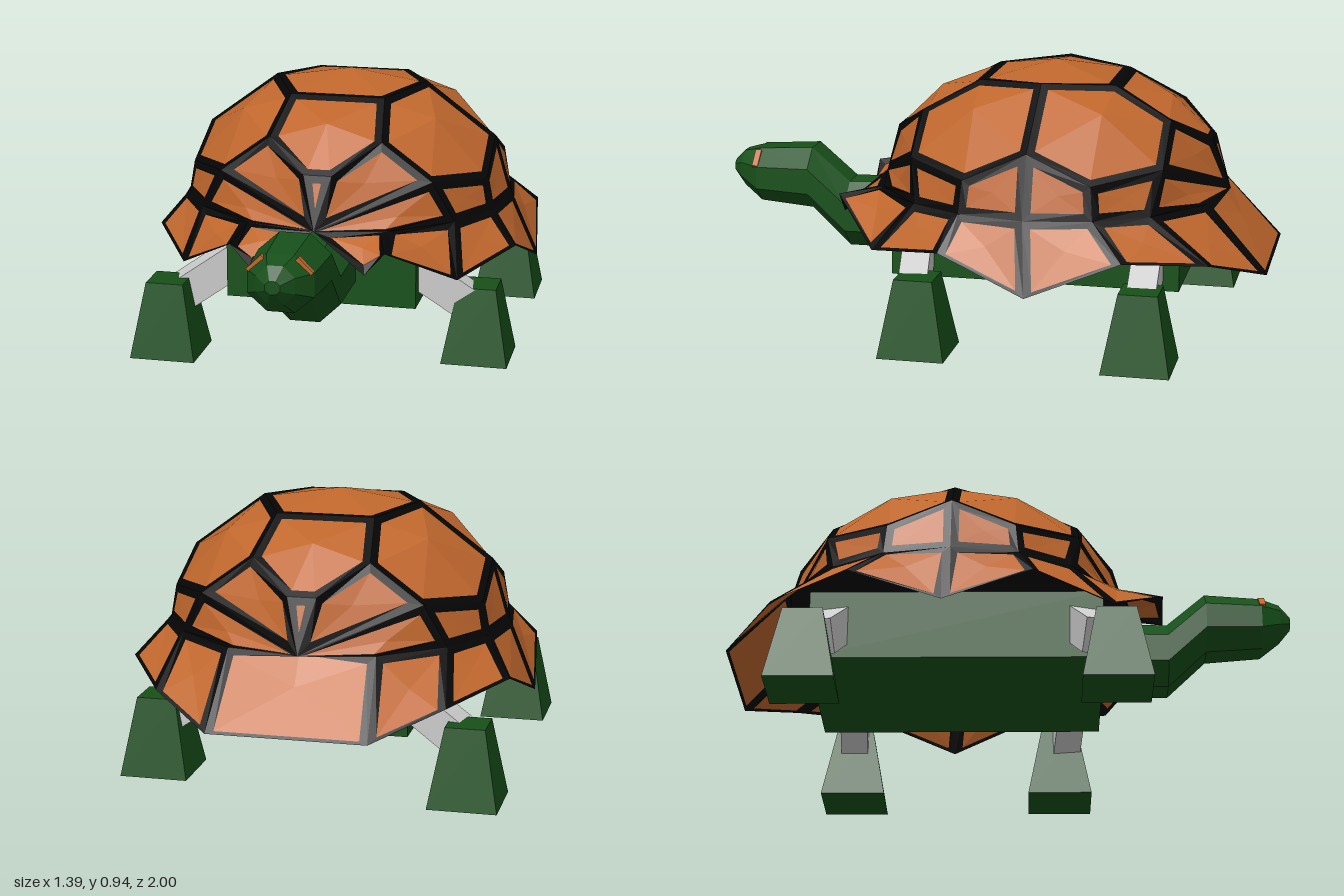
import * as THREE from 'three';

const V = (x, y, z) => new THREE.Vector3(x, y, z);
const ORANGE = 0xc0672d, BLACK = 0x050505, GREEN = 0x17501a, GREY = 0xcccccc;
const CZ = -0.21; // middle of the shell along z
const mat = (color, side = THREE.FrontSide) =>
  new THREE.MeshStandardMaterial({ color, side, flatShading: true });

// Puts a plan point (u across, v along, optional height) on the ellipsoid dome
function onDome([u, v, y]) {
  const h = Math.max(0, 1 - (u / 0.6) ** 2 - (v / 0.63) ** 2);
  return V(u, y ?? 0.5 + 0.44 * Math.sqrt(h), v + CZ);
}

const average = pts => pts.reduce((s, p) => s.add(p), V(0, 0, 0)).divideScalar(pts.length);

function meshFrom(points, material, name) {
  const geo = new THREE.BufferGeometry().setFromPoints(points);
  geo.computeVertexNormals();
  const mesh = new THREE.Mesh(geo, material);
  mesh.name = name;
  return mesh;
}

// Border width along an edge: thin on the free outer edge, except at the neck
const borderWidth = (p, q) =>
  (p.y < 0.49 && q.y < 0.49 && p.z + q.z < 1.04 ? 0.012 : 0.027);

// Adds one plate: an orange fan inside a black border
function addPlate(corners, centre, { orange, black }) {
  const n = corners.length;
  const normal = V(0, 0, 0);
  corners.forEach((p, i) => {
    normal.add(p.clone().sub(centre).cross(corners[(i + 1) % n].clone().sub(centre)));
  });
  if (normal.dot(centre.clone().sub(V(0, 0.25, CZ))) < 0) corners = [...corners].reverse();
  const inset = corners.map((p, i) => {
    const prev = corners[(i + n - 1) % n], next = corners[(i + 1) % n];
    const a = prev.clone().sub(p).normalize();
    const b = next.clone().sub(p).normalize();
    const sin = a.clone().cross(b).length();
    const toCentre = centre.clone().sub(p);
    const dist = toCentre.length();
    const off = sin > 0.4
      ? a.multiplyScalar(borderWidth(p, next) / sin).addScaledVector(b, borderWidth(prev, p) / sin)
      : toCentre.clone().multiplyScalar(Math.min(0.027 / dist, 0.5));
    if (off.length() > 0.6 * dist) off.copy(toCentre).multiplyScalar(0.6);
    return p.clone().add(off);
  });
  for (let i = 0; i < n; i++) {
    const j = (i + 1) % n;
    black.push(corners[i], corners[j], inset[j], corners[i], inset[j], inset[i]);
    orange.push(inset[i], inset[j], centre);
  }
}

function makeShell() {
  const tris = { orange: [], black: [] };

  // Dome plates in plan, for one quarter
  const ring = [[0.6, 0], [0.558, 0.23], [0.455, 0.41], [0.25, 0.573], [0, 0.63]]
    .map(([u, v]) => [u, v, 0.5]);
  const top = [0.28, 0, 0.905], shoulder = [0.535, 0, 0.715], low = [0.54, 0.22], corner = [0.38, 0.44];
  const middle = [top, [0.17, 0.24], [-0.17, 0.24], [-0.28, 0, 0.905], [-0.17, -0.24], [0.17, -0.24]];
  const endPlate = [[-0.17, 0.24], [0.17, 0.24], [0.2, 0.44], [0.05, 0.57], [-0.05, 0.57], [-0.2, 0.44]];
  const endTip = [[-0.05, 0.57], [0.05, 0.57], ring[4]];
  const sidePlate = [top, [0.17, 0.24], [0.2, 0.44], corner, low, shoulder];
  const flatPlates = [
    [[0.2, 0.44], [0.05, 0.57], ring[4], corner],
    [corner, ring[4], ring[3], ring[2]],
    [corner, ring[2], ring[1], low],
    [low, ring[1], ring[0], shoulder],
  ];
  const dome = (plan, sx, sz, bulged) => {
    const pts = plan.map(([u, v, y]) => onDome([u * sx, v * sz, y]));
    const mid = average(pts);
    addPlate(pts, bulged ? onDome([mid.x, mid.z - CZ]) : mid, tris);
  };
  dome(middle, 1, 1, true);
  for (const sz of [1, -1]) {
    dome(endPlate, 1, sz, true);
    dome(endTip, 1, sz, false);
    for (const sx of [1, -1]) {
      dome(sidePlate, sx, sz, true);
      flatPlates.forEach(p => dome(p, sx, sz, false));
    }
  }

  // Flared rim plates, from the ring out to the pointed edge
  const edge = {
    1: [V(0.695, 0.26, -0.235), V(0.655, 0.387, 0.07), V(0.49, 0.335, 0.345), V(0.27, 0.47, 0.525)],
    [-1]: [V(0.695, 0.26, -0.235), V(0.655, 0.387, -0.555), V(0.49, 0.35, -0.825), V(0.27, 0.267, -1)],
  };
  const flip = p => V(-p.x, p.y, p.z);
  const rim = (pts, sx) => {
    const corners = sx < 0 ? pts.map(flip) : pts;
    addPlate(corners, average(corners), tris);
  };
  // Black underside closing the dome, facing down
  const under = [];
  const hub = V(0, 0.5, CZ);
  for (const sz of [1, -1]) {
    const inner = ring.map(([u, v, y]) => onDome([u, v * sz, y]));
    const out = edge[sz];
    for (const sx of [1, -1]) {
      for (let i = 0; i < 3; i++) rim([inner[i], inner[i + 1], out[i + 1], out[i]], sx);
      if (sz > 0) rim([inner[3], inner[4], V(0.2, 0.39, 0.525), out[3]], sx);
      const side = sx < 0 ? inner.map(flip) : inner;
      for (let i = 0; i < 4; i++) {
        under.push(hub, ...(sx * sz > 0 ? [side[i], side[i + 1]] : [side[i + 1], side[i]]));
      }
    }
    if (sz < 0) rim([inner[3], inner[4], flip(inner[3]), flip(out[3]), out[3]], 1);
  }

  const shell = new THREE.Group();
  shell.name = 'shell';
  shell.add(
    meshFrom(tris.orange, mat(ORANGE, THREE.DoubleSide), 'shellPlates'),
    meshFrom(tris.black, mat(BLACK, THREE.DoubleSide), 'plateBorders'),
    meshFrom(under, mat(BLACK, THREE.DoubleSide), 'shellUnderside'),
  );
  return shell;
}

// Neck and head: eight-sided sections [z, bottom, top, half width]
function makeHead() {
  const sections = [
    [0.28, 0.22, 0.47, 0.125], [0.55, 0.22, 0.46, 0.125], [0.69, 0.355, 0.58, 0.125],
    [0.89, 0.37, 0.567, 0.112], [0.96, 0.42, 0.55, 0.065], [1.0, 0.465, 0.51, 0.025],
  ];
  const loops = sections.map(([z, lo, hi, hw]) => Array.from({ length: 8 }, (_, i) => {
    const a = (i + 0.5) * Math.PI / 4, k = 1 / Math.cos(Math.PI / 8);
    return V(Math.cos(a) * hw * k, (lo + hi) / 2 + Math.sin(a) * (hi - lo) / 2 * k, z);
  }));
  const tris = [];
  for (let s = 0; s < loops.length - 1; s++) {
    for (let i = 0; i < 8; i++) {
      const j = (i + 1) % 8, a = loops[s], b = loops[s + 1];
      tris.push(a[i], a[j], b[j], a[i], b[j], b[i]);
    }
  }
  const back = loops[0], nose = loops[loops.length - 1];
  for (let i = 1; i < 7; i++) {
    tris.push(nose[0], nose[i], nose[i + 1], back[0], back[i + 1], back[i]);
  }

  const head = new THREE.Group();
  head.name = 'head';
  head.add(meshFrom(tris, mat(GREEN), 'neckAndHead'));
  for (const s of [1, -1]) {
    const eye = new THREE.Mesh(new THREE.BoxGeometry(0.07, 0.03, 0.022), mat(ORANGE));
    eye.position.set(s * 0.077, 0.529, 0.894);
    eye.rotation.z = -s * Math.PI / 4;
    eye.name = 'eye';
    head.add(eye);
  }
  return head;
}

// Leg: a slanted beam down to a tapered square foot
function makeLeg(name, side, hipZ, ankleZ, footZ) {
  const leg = new THREE.Group();
  leg.name = name;
  const from = V(side * 0.27, 0.37, hipZ), to = V(side * 0.505, 0.21, ankleZ);
  const beam = new THREE.Mesh(new THREE.BoxGeometry(0.1, 0.12, from.distanceTo(to)), mat(GREY));
  beam.position.copy(from).lerp(to, 0.5);
  beam.lookAt(to);
  beam.name = 'upperLeg';
  const geo = new THREE.CylinderGeometry(0.0675 * Math.SQRT2, 0.1175 * Math.SQRT2, 0.27, 4);
  geo.rotateY(Math.PI / 4);
  const foot = new THREE.Mesh(geo, mat(GREEN));
  foot.position.set(side * 0.543, 0.135, footZ);
  foot.name = 'foot';
  leg.add(beam, foot);
  return leg;
}

export function createModel() {
  const model = new THREE.Group();
  model.name = 'tortoise';

  const body = new THREE.Mesh(new THREE.BoxGeometry(0.68, 0.25, 1.02), mat(GREEN));
  body.position.set(0, 0.333, -0.197);
  body.name = 'body';

  model.add(
    makeShell(), body, makeHead(),
    makeLeg('leftFrontLeg', 1, 0.22, 0.19, 0.168),
    makeLeg('rightFrontLeg', -1, 0.23, 0.29, 0.347),
    makeLeg('leftBackLeg', 1, -0.6, -0.605, -0.605),
    makeLeg('rightBackLeg', -1, -0.61, -0.655, -0.7),
  );
  return model;
}
